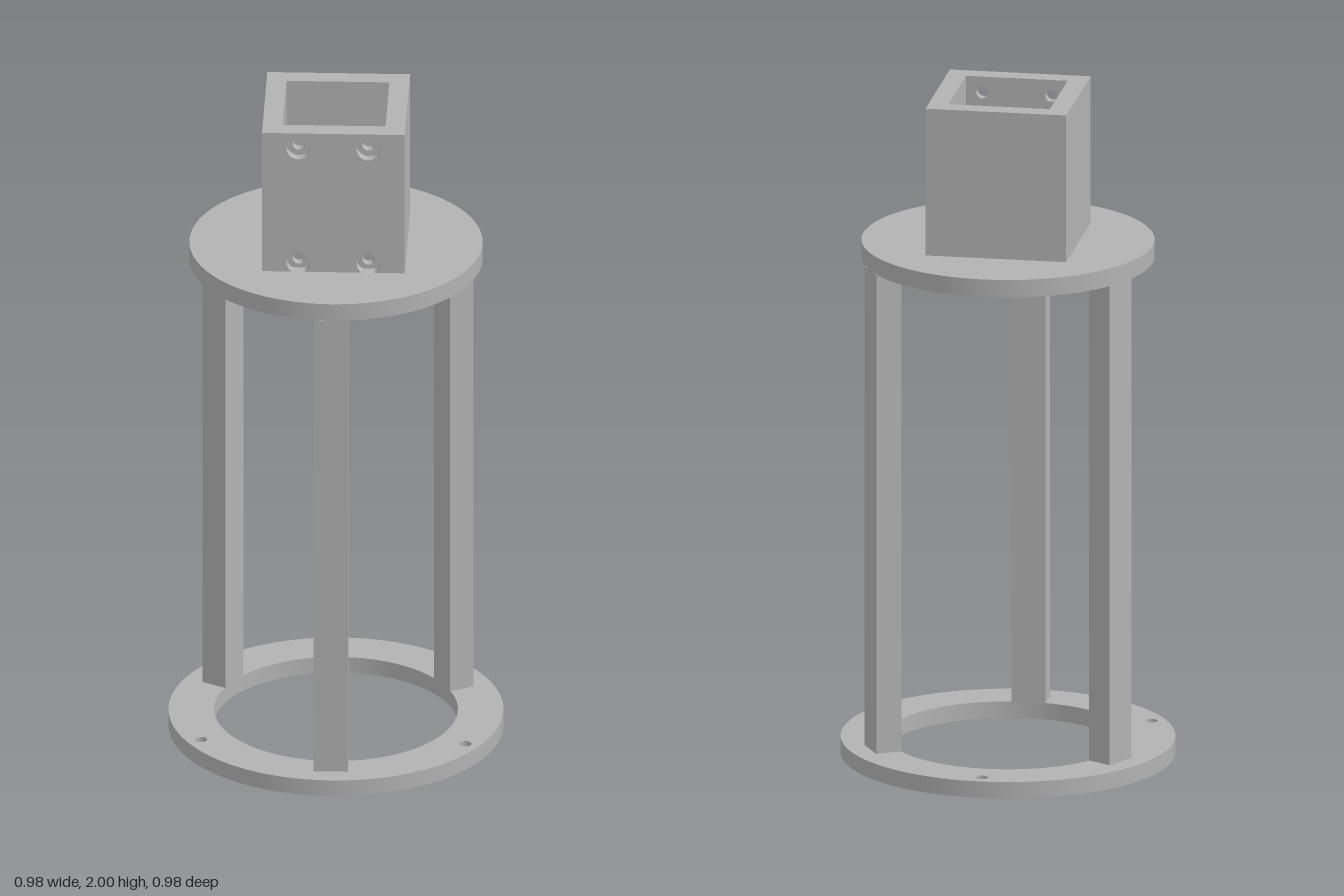
import * as THREE from 'three';
import { toCreasedNormals } from 'three/addons/utils/BufferGeometryUtils.js';

const grey = new THREE.MeshStandardMaterial({ color: 0xb2b2b2 });
grey.name = 'plain grey';

function circle(r, x = 0, y = 0, Type = THREE.Path) {
  const c = new Type();
  c.absarc(x, y, r, 0, Math.PI * 2, false);
  return c;
}

function polygon(points) {
  return new THREE.Shape(points.map(([x, y]) => new THREE.Vector2(x, y)));
}

function extrude(shape, depth) {
  const geo = new THREE.ExtrudeGeometry(shape, { depth, bevelEnabled: false, curveSegments: 48 });
  return toCreasedNormals(geo, 0.5);
}

// Extrusion lying flat: the shape's y axis becomes -z
function flat(shape, y0, y1) {
  return extrude(shape, y1 - y0).rotateX(-Math.PI / 2).translate(0, y0, 0);
}

export function createModel() {
  const model = new THREE.Group();
  const add = (name, geometry) => {
    const mesh = new THREE.Mesh(geometry, grey);
    mesh.name = name;
    model.add(mesh);
    return mesh;
  };

  // Base ring with three bolt holes between the posts
  const ring = circle(0.488, 0, 0, THREE.Shape);
  ring.holes.push(circle(0.355));
  for (let i = 0; i < 3; i++) {
    const a = Math.PI / 2 + (i * Math.PI * 2) / 3;
    ring.holes.push(circle(0.018, Math.cos(a) * 0.445, Math.sin(a) * 0.445));
  }
  add('baseRing', flat(ring, 0, 0.05));

  // Three upright posts
  for (let i = 0; i < 3; i++) {
    const post = new THREE.BoxGeometry(0.1, 1.455, 0.078).translate(0, 0.7755, 0.388);
    add('post', post).rotation.y = (i * Math.PI * 2) / 3;
  }

  // Top plate with its central opening
  const plate = circle(0.427, 0, 0, THREE.Shape);
  plate.holes.push(circle(0.163));
  add('topPlate', flat(plate, 1.502, 1.555));

  // Square socket: back and side walls
  const o = 0.208, n = 0.15, bottom = 1.548, top = 2;
  add('socketWalls', flat(polygon([
    [-o, -n], [-n, -n], [-n, n], [n, n], [n, -n], [o, -n], [o, o], [-o, o],
  ]), bottom, top));

  // Front wall in two layers, giving stepped screw holes
  const layers = [
    ['frontWallInner', 0.018, n, 0.178],
    ['frontWallOuter', 0.035, 0.178, o],
  ];
  for (const [name, radius, z0, z1] of layers) {
    const wall = polygon([[-o, bottom], [o, bottom], [o, top], [-o, top]]);
    for (const x of [-0.102, 0.102])
      for (const y of [1.585, 1.952]) wall.holes.push(circle(radius, x, y));
    add(name, extrude(wall, z1 - z0).translate(0, 0, z0));
  }

  return model;
}
